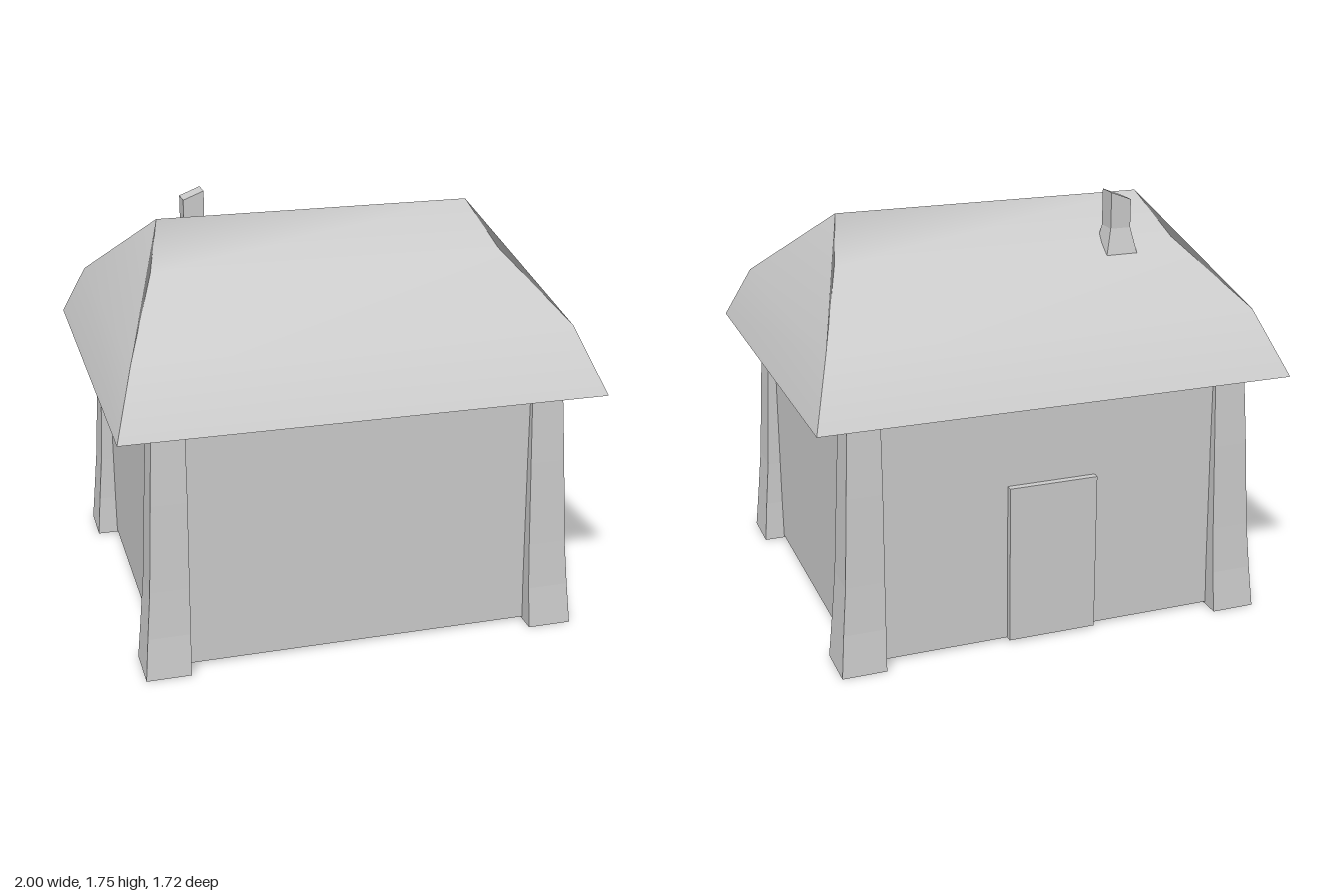
import * as THREE from 'three';

const grey = (options = {}) => new THREE.MeshStandardMaterial({ color: 0xcccccc, ...options });

function part(name, geometry, material) {
  const mesh = new THREE.Mesh(geometry, material);
  mesh.name = name;
  return mesh;
}

function indexed(points, index) {
  const g = new THREE.BufferGeometry();
  g.setAttribute('position', new THREE.Float32BufferAttribute(points.flat(), 3));
  g.setIndex(index);
  g.computeVertexNormals();
  return g;
}

// Four-sided loft through rings of [x0, x1, z0, z1, y, yRight]; open below, optional lid
function loft(rings, lid = false) {
  const points = [], index = [];
  rings.forEach(([x0, x1, z0, z1, y, yRight = y]) =>
    points.push([x0, y, z1], [x1, yRight, z1], [x1, yRight, z0], [x0, y, z0]));
  for (let r = 0; r < rings.length - 1; r++) {
    for (let i = 0; i < 4; i++) {
      const a = r * 4 + i, b = r * 4 + (i + 1) % 4;
      index.push(a, b, b + 4, a, b + 4, a + 4);
    }
  }
  if (lid) {
    const t = (rings.length - 1) * 4;
    index.push(t, t + 1, t + 2, t, t + 2, t + 3);
  }
  const g = indexed(points, index).toNonIndexed();
  g.computeVertexNormals();
  return g;
}

// Roof profile from front eave over the ridge to back eave: [half length, y, z]
const half = [[1, 1.06, 0.86], [0.91, 1.31, 0.68], [0.75, 1.53, 0.23]];
const profile = [...half, [0.68, 1.695, 0], ...half.map(([x, y, z]) => [x, y, -z]).reverse()];

function createRoof() {
  const roof = new THREE.Group();
  roof.name = 'roof';

  // Both long slopes as one smooth strip
  const points = [], index = [];
  profile.forEach(([x, y, z], i) => {
    points.push([-x, y, z], [x, y, z]);
    if (i) {
      const a = i * 2 - 2;
      index.push(a, a + 1, a + 3, a, a + 3, a + 2);
    }
  });
  roof.add(part('roofSlopes', indexed(points, index), grey()));

  // Hipped ends: lower band, upper triangle and two slivers beside the ridge
  const right = [0, 6, 5, 0, 5, 1, 1, 5, 3, 1, 3, 2, 5, 4, 3];
  for (const side of [1, -1]) {
    const ends = profile.map(([x, y, z]) => [side * x, y, z]);
    roof.add(part(side > 0 ? 'leftRoofEnd' : 'rightRoofEnd',
      indexed(ends, side > 0 ? right : [...right].reverse()), grey({ side: THREE.DoubleSide })));
  }

  // Flat underside
  const soffit = part('soffit', new THREE.PlaneGeometry(2, 1.72), grey({ side: THREE.DoubleSide }));
  soffit.rotation.x = Math.PI / 2;
  soffit.position.y = 1.06;
  roof.add(soffit);
  return roof;
}

// Flared corner posts: [inner x, outer x, inner z, outer z, y]
const postRings = [
  [0.735, 0.92, 0.593, 0.8, 0],
  [0.73, 0.905, 0.603, 0.783, 0.18],
  [0.727, 0.888, 0.606, 0.772, 0.38],
  [0.722, 0.87, 0.61, 0.757, 0.75],
  [0.72, 0.853, 0.61, 0.74, 1.06],
];

function createPost(sx, sz) {
  const span = (a, b, s) => (s > 0 ? [a, b] : [-b, -a]);
  const rings = postRings.map(([xi, xo, zi, zo, y]) => [...span(xi, xo, sx), ...span(zi, zo, sz), y]);
  return part('cornerPost', loft(rings), grey({ side: THREE.DoubleSide }));
}

export function createModel() {
  const house = new THREE.Group();
  house.name = 'house';

  // Thin walls, open underneath
  house.add(part('walls', loft([
    [-0.83, 0.83, -0.72, 0.72, 0.01],
    [-0.83, 0.83, -0.72, 0.72, 1.06],
  ]), grey({ side: THREE.DoubleSide })));

  for (const sx of [1, -1]) for (const sz of [1, -1]) house.add(createPost(sx, sz));

  // Door on the back wall
  const door = part('door', new THREE.BoxGeometry(0.38, 0.68, 0.03), grey());
  door.position.set(0, 0.35, -0.735);
  house.add(door);

  house.add(createRoof());

  // Chimney with flared foot and slanted top
  house.add(part('chimney', loft([
    [-0.555, -0.41, -0.31, -0.18, 1.48],
    [-0.53, -0.44, -0.28, -0.19, 1.6],
    [-0.53, -0.44, -0.28, -0.19, 1.72, 1.755],
  ], true), grey({ side: THREE.DoubleSide })));

  return house;
}
